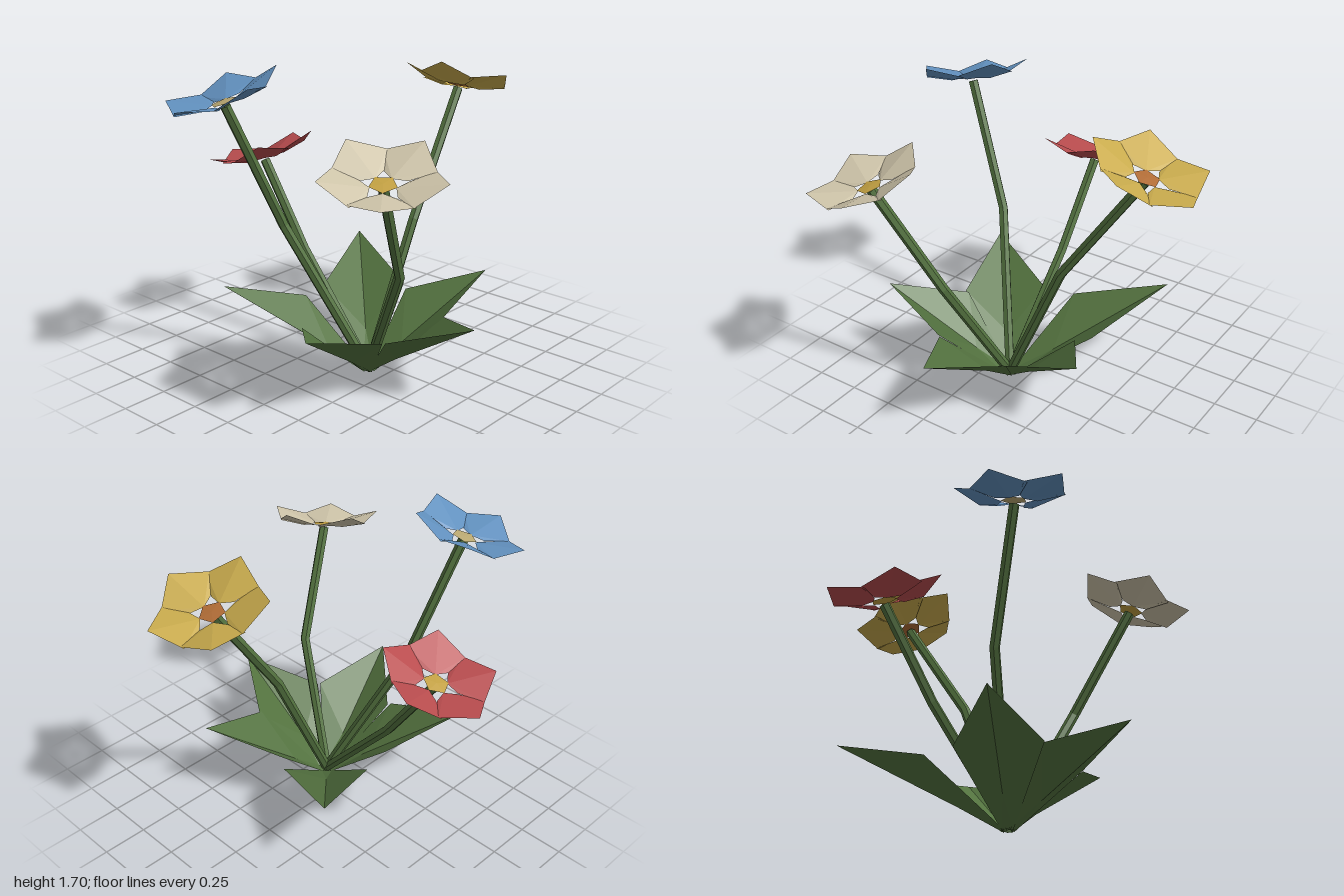
import * as THREE from 'three';

const mat = (name, color) => {
  const m = new THREE.MeshStandardMaterial({ color, side: THREE.DoubleSide, flatShading: true });
  m.name = name;
  return m;
};

const V = (x, y, z) => new THREE.Vector3(x, y, z);
const polar = (deg, r, y) => {
  const a = THREE.MathUtils.degToRad(deg);
  return V(r * Math.cos(a), y, r * Math.sin(a));
};

// Faceted surface from points and triangles
function facets(points, tris) {
  const g = new THREE.BufferGeometry().setFromPoints(tris.flat().map(i => points[i]));
  g.computeVertexNormals();
  return g;
}

function named(name, geometry, material) {
  const m = new THREE.Mesh(geometry, material);
  m.name = name;
  return m;
}

// Keeled leaf along +x: narrow foot, wide shoulders, pointed tip
function leafGeometry(length, tipY) {
  const p = [
    V(0.02, 0.01, 0.03), V(0.02, 0.01, -0.03),
    V(0.28 * length, 0.14, 0),
    V(0.46 * length, 0.35, 0.23), V(0.46 * length, 0.35, -0.23),
    V(length, tipY, 0),
  ];
  return facets(p, [[1, 0, 2], [0, 3, 2], [2, 3, 5], [1, 2, 4], [2, 5, 4]]);
}

// Six-sided stem through three points with one sharp bend
function stemGeometry(pts) {
  const path = new THREE.Curve();
  const at = t => pts[Math.round(t * 2)];
  path.getPoint = path.getPointAt = t => at(t).clone();
  path.getTangent = path.getTangentAt = t =>
    at(Math.min(1, t + 0.5)).clone().sub(at(Math.max(0, t - 0.5))).normalize();
  const g = new THREE.TubeGeometry(path, 2, 0.028, 6, false).toNonIndexed();
  g.computeVertexNormals();
  return g;
}

// One petal centred on +x, slightly overlapping its neighbours
function petalGeometry() {
  const p = [
    V(0.064, 0, 0),
    polar(36, 0.118, 0.0), polar(38, 0.256, 0.03),
    V(0.315, 0.08, 0),
    polar(-38, 0.256, 0.025), polar(-36, 0.118, -0.005),
  ];
  return facets(p, [[0, 1, 2], [0, 2, 3], [0, 3, 4], [0, 4, 5]]);
}

// Flat five-sided centre with corners on the petal axes
function centreGeometry() {
  const p = [V(0, 0.008, 0)];
  for (let i = 0; i < 5; i++) p.push(polar(i * 72, 0.07, 0.004));
  return facets(p, [0, 1, 2, 3, 4].map(i => [0, 1 + (i + 1) % 5, 1 + i]));
}

export function createModel() {
  const model = new THREE.Group();
  model.name = 'flowerBunch';

  const green = mat('leafGreen', 0x53723f);
  const red = mat('petalRed', 0xb84c4e);
  const blue = mat('petalBlue', 0x6291bf);
  const cream = mat('petalCream', 0xcfc5aa);
  const yellow = mat('petalYellow', 0xc9ab4d);
  const gold = mat('centreGold', 0xc2a042);
  const tan = mat('centreTan', 0xbaa872);
  const orange = mat('centreOrange', 0xb06c36);

  const base = V(0.15, 0.02, 0.1);

  // Leaves: direction, length, tip height
  const leaves = new THREE.Group();
  leaves.name = 'leaves';
  for (const [deg, length, tipY] of [
    [-134.5, 0.91, 0.5], [-64, 0.71, 0.49], [2, 0.715, 0.467], [74, 0.72, 0.472], [141, 0.78, 0.49],
  ]) {
    const leaf = named('leaf', leafGeometry(length, tipY), green);
    leaf.position.set(base.x, 0, base.z);
    leaf.rotation.y = -THREE.MathUtils.degToRad(deg);
    leaves.add(leaf);
  }
  model.add(leaves);

  // Flowers: stem bend, head position, facing, petal start angle, colours
  const flowers = [
    ['redFlower', V(-0.35, 0.59, 0.075), V(-0.67, 1.06, 0.06), V(-0.33, 1, 0.05), -99, red, gold],
    ['blueFlower', V(-0.2, 0.84, 0.38), V(-0.32, 1.53, 0.66), V(-0.22, 1, 0.25), -130, blue, tan],
    ['creamFlower', V(0.5, 0.7, 0.27), V(0.655, 1.28, 0.585), V(0.21, 1, 0.26), -92, cream, gold],
    ['yellowFlower', V(0.17, 0.8, -0.25), V(0.12, 1.465, -0.7), V(-0.05, 1, -0.35), -69, yellow, orange],
  ];
  const petal = petalGeometry();
  const centre = centreGeometry();
  for (const [name, bend, top, facing, phase, petalMat, centreMat] of flowers) {
    const flower = new THREE.Group();
    flower.name = name;
    const stemTop = top.clone().addScaledVector(facing, -0.015);
    flower.add(named('stem', stemGeometry([base, bend, stemTop]), green));

    const head = new THREE.Group();
    head.name = 'flowerHead';
    head.position.copy(top);
    head.quaternion.setFromUnitVectors(V(0, 1, 0), facing.clone().normalize());
    for (let i = 0; i < 5; i++) {
      const p = named('petal', petal, petalMat);
      p.rotation.y = -THREE.MathUtils.degToRad(phase + i * 72);
      head.add(p);
    }
    const c = named('flowerCentre', centre, centreMat);
    c.rotation.y = -THREE.MathUtils.degToRad(phase);
    head.add(c);
    flower.add(head);
    model.add(flower);
  }
  return model;
}
